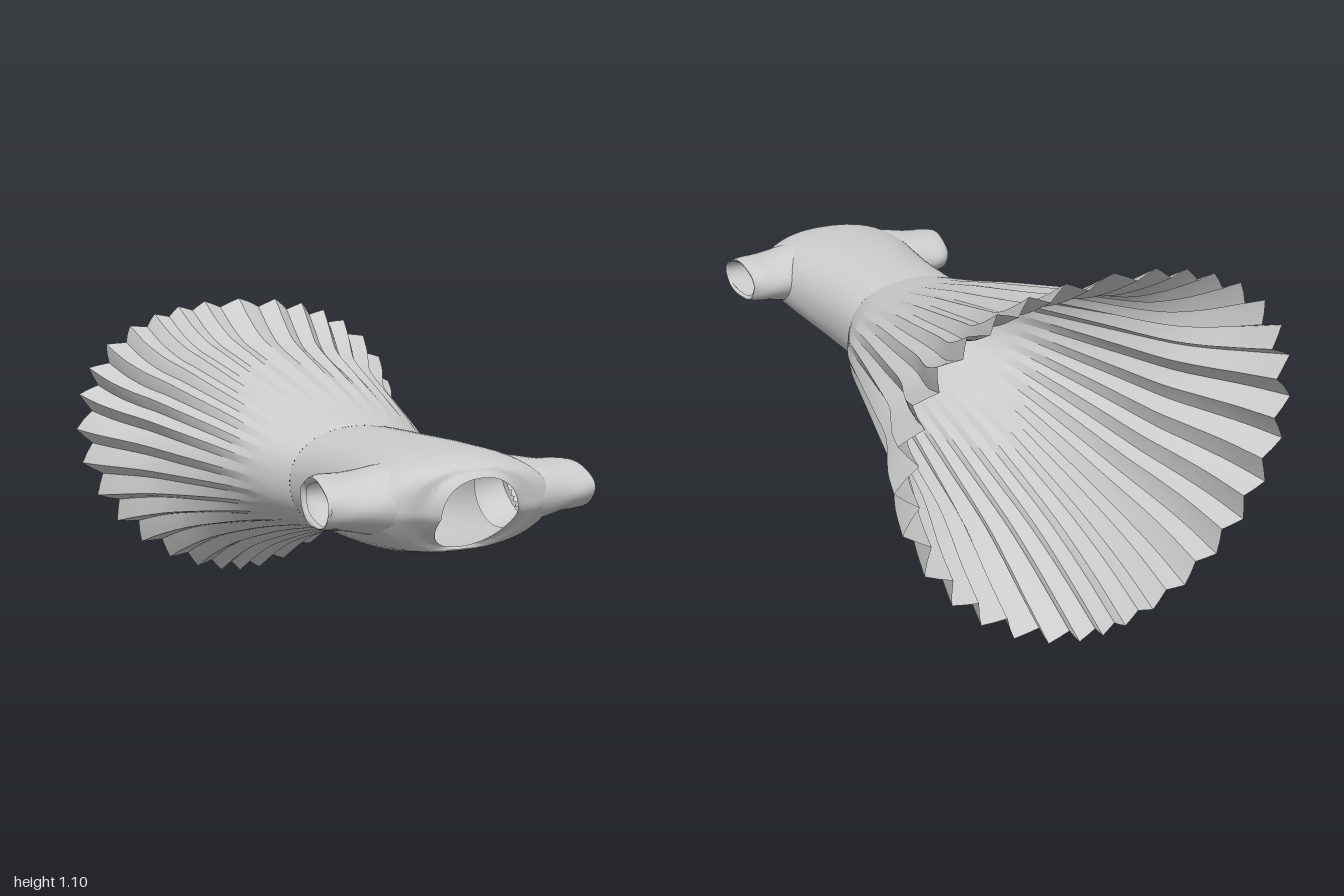
import * as THREE from 'three';
import { toCreasedNormals } from 'three/addons/utils/BufferGeometryUtils.js';

const fabric = new THREE.MeshStandardMaterial({ color: 0xcccccc, side: THREE.DoubleSide });

// Skin a grid of rings; point(u, v) gives a position, u round the ring, v along the part.
function skin(name, point, around, along, crease, isHole) {
  const pos = [], index = [];
  for (let j = 0; j <= along; j++)
    for (let i = 0; i < around; i++) pos.push(...point(i / around, j / along));
  for (let j = 0; j < along; j++)
    for (let i = 0; i < around; i++) {
      const k = (i + 1) % around;
      const a = j * around + i, b = j * around + k, c = a + around, d = b + around;
      const mid = [0, 1, 2].map(n => (pos[a * 3 + n] + pos[d * 3 + n]) / 2);
      if (isHole && isHole(...mid)) continue;
      index.push(a, b, d, a, d, c);
    }
  const geo = new THREE.BufferGeometry();
  geo.setAttribute('position', new THREE.Float32BufferAttribute(pos, 3));
  geo.setIndex(index);
  const mesh = new THREE.Mesh(toCreasedNormals(geo, crease), fabric);
  mesh.name = name;
  return mesh;
}

// Smooth interpolation through rows of values, v from 0 to 1.
function smoothRows(rows) {
  const n = rows[0].length;
  const spline = new THREE.CubicInterpolant(rows.map((_, i) => i), rows.flat(), n, new Array(n));
  return v => [...spline.evaluate(v * (rows.length - 1))];
}

const power = (s, e) => Math.sign(s) * Math.abs(s) ** e;

// Skirt rows: z, half width, top y, bottom y, pleat depth
const skirtRow = smoothRows([
  [0.20, 0.245, 0.75, 0.41, 0],
  [0.10, 0.295, 0.77, 0.395, 0],
  [0.00, 0.335, 0.79, 0.375, 0.002],
  [-0.20, 0.385, 0.84, 0.325, 0.006],
  [-0.40, 0.435, 0.885, 0.265, 0.010],
  [-0.60, 0.485, 0.93, 0.20, 0.015],
  [-0.72, 0.533, 0.962, 0.15, 0.019],
  [-0.84, 0.585, 1.015, 0.09, 0.022],
  [-0.965, 0.627, 1.085, 0.021, 0.024],
]);
const PLEATS = 32;

function skirtPoint(u, v) {
  const [z, w, top, bottom, depth] = skirtRow(v);
  // Pleats are wider and deeper at the sides
  const t = u * Math.PI * 2;
  const a = t + 0.08 * Math.sin(2 * t);
  const f = (u * PLEATS + 0.5) % 1;
  const wave = 1 - 4 * Math.abs(f - 0.5);
  const uneven = 1 + 0.3 * Math.cos(2 * a) + 0.12 * Math.sin(a * 5 + 1) - 0.1 * Math.sin(a);
  const p = depth * wave * uneven;
  const sway = 0.5 * depth * Math.sin(a * 7 + 2);
  const c = Math.cos(a + sway), s = Math.sin(a + sway);
  // Full shoulders above the widest line, tapering below it
  const e = THREE.MathUtils.lerp(0.9, s > 0 ? 0.85 : 1.12, v);
  const mid = 0.58 + 0.03 * v;
  const hem = Math.max(0, v - 0.7) / 0.3;
  return [
    w * power(c, e) + p * c,
    mid + power(s, e) * (s > 0 ? top - mid : mid - bottom) + p * s,
    z + hem * (0.02 * s + 0.003 * wave),
  ];
}

// Bodice rows: z at mid height, half width, top y, bottom y, setback of the lower edge
const bodiceRow = smoothRows([
  [0.20, 0.245, 0.75, 0.41, 0],
  [0.30, 0.24, 0.756, 0.41, 0],
  [0.45, 0.243, 0.762, 0.415, 0],
  [0.60, 0.26, 0.767, 0.431, 0],
  [0.70, 0.275, 0.767, 0.447, 0],
  [0.79, 0.285, 0.765, 0.462, 0.02],
  [0.87, 0.28, 0.757, 0.475, 0.04],
  [0.92, 0.26, 0.745, 0.483, 0.06],
  [0.942, 0.21, 0.733, 0.488, 0.075],
  [0.95, 0.145, 0.722, 0.491, 0.085],
  [0.982, 0.117, 0.713, 0.496, 0.12],
]);

function bodicePoint(u, v) {
  const [z, w, top, bottom, setback] = bodiceRow(v);
  const a = u * Math.PI * 2;
  const s = power(Math.sin(a), 0.9);
  return [
    w * power(Math.cos(a), 0.9),
    (top + bottom) / 2 + s * (top - bottom) / 2,
    z + setback * s * (s > 0 ? 0.15 : 1),
  ];
}

// Openings in the bodice where the sleeves join
const armhole = (x, y, z) =>
  Math.abs(x) > 0.16 && ((y - 0.634) / 0.085) ** 2 + ((z - 0.795) / 0.13) ** 2 < 1;

// Sleeve rows: x, centre y, centre z, half height, half depth; the last turns the hem inwards
const sleeveRow = smoothRows([
  [0.16, 0.630, 0.795, 0.105, 0.135],
  [0.21, 0.631, 0.795, 0.099, 0.144],
  [0.27, 0.632, 0.79, 0.087, 0.145],
  [0.32, 0.634, 0.785, 0.078, 0.142],
  [0.37, 0.636, 0.782, 0.075, 0.138],
  [0.405, 0.636, 0.790, 0.068, 0.122],
  [0.395, 0.636, 0.800, 0.056, 0.114],
]);

function sleevePoint(side) {
  return (u, v) => {
    const [x, cy, cz, ry, rz] = sleeveRow(v);
    const a = side * u * Math.PI * 2;
    const crumple = 1 + 0.025 * v * Math.sin(a * side * 5 + v * 9);
    return [
      side * (x + 0.01 * v * Math.sin(a)),
      cy + ry * crumple * Math.cos(a),
      cz + rz * crumple * Math.sin(a),
    ];
  };
}

export function createModel() {
  const dress = new THREE.Group();
  dress.name = 'dress';
  dress.add(skin('pleatedSkirt', (u, v) => skirtPoint(1 - u, v), PLEATS * 4, 32, 0.3));
  dress.add(skin('bodice', bodicePoint, 72, 60, 0.9, armhole));
  for (const side of [1, -1])
    dress.add(skin(side > 0 ? 'leftSleeve' : 'rightSleeve', sleevePoint(side), 40, 18, 0.8));
  return dress;
}
